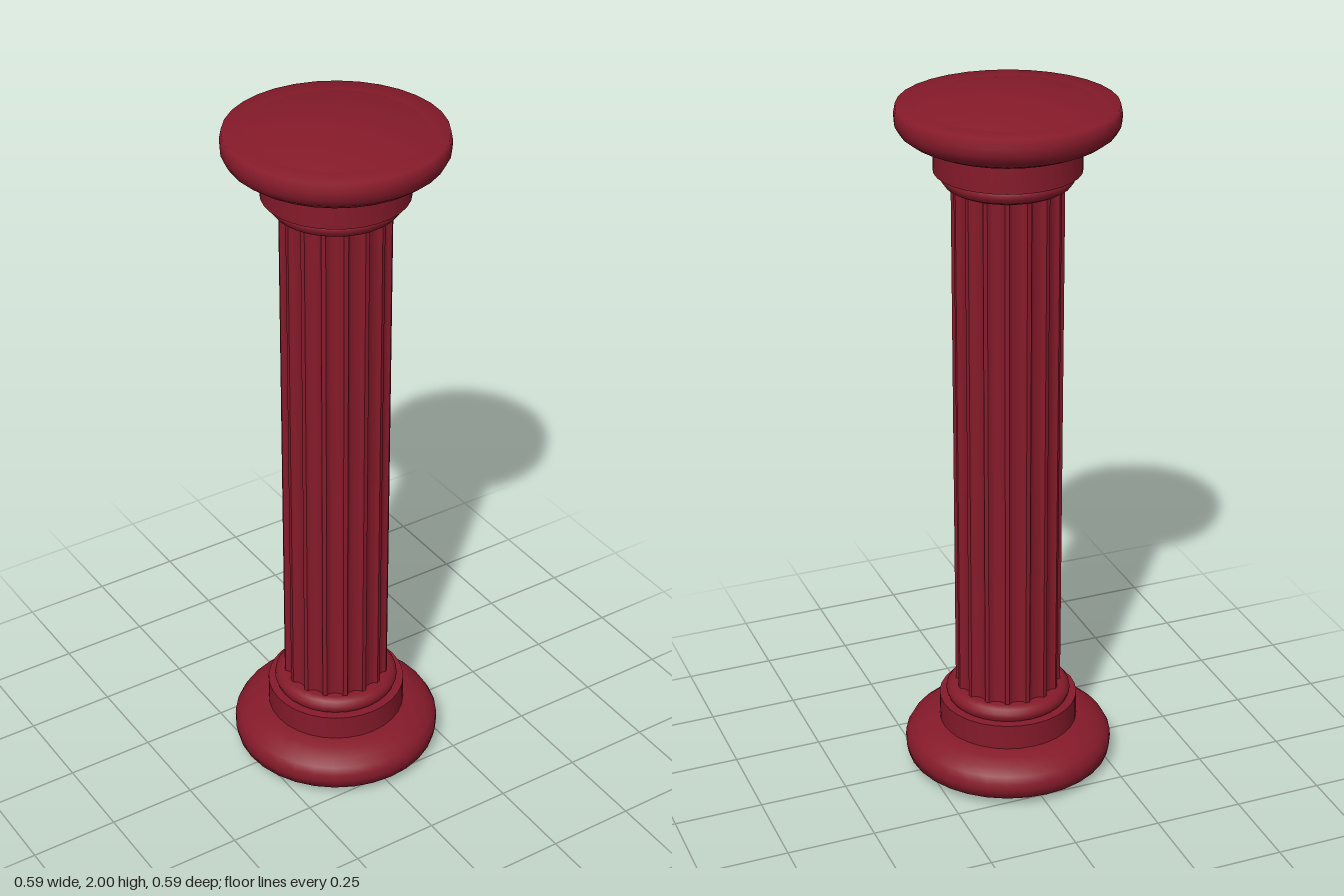
import * as THREE from 'three';
import { toCreasedNormals } from 'three/addons/utils/BufferGeometryUtils.js';

const material = new THREE.MeshStandardMaterial({ color: 0x851a2a });

function addMesh(group, name, geometry) {
  const mesh = new THREE.Mesh(geometry, material);
  mesh.name = name;
  group.add(mesh);
}

// Turned part from [radius, height] pairs, listed from bottom to top
function turned(profile, segments = 32) {
  return new THREE.LatheGeometry(profile.map(([r, y]) => new THREE.Vector2(r, y)), segments);
}

// Shaft outline with concave flutes separated by narrow ridges
function flutedShaft(radius, flutes, depth, bottom, top) {
  const points = [];
  const steps = 8;
  const ridge = 0.2;
  for (let i = 0; i < flutes; i++) {
    for (let j = 0; j <= steps; j++) {
      const t = j / steps;
      const angle = ((i + ridge / 2 + t * (1 - ridge)) / flutes) * Math.PI * 2;
      const r = radius - depth * Math.sqrt(Math.max(0, 1 - (2 * t - 1) ** 2));
      points.push(new THREE.Vector2(r * Math.cos(angle), r * Math.sin(angle)));
    }
  }
  const geometry = new THREE.ExtrudeGeometry(new THREE.Shape(points), {
    depth: top - bottom, bevelEnabled: false,
  });
  geometry.rotateX(-Math.PI / 2).translate(0, bottom, 0);
  return toCreasedNormals(geometry, 0.7);
}

function createEnd(name) {
  const end = new THREE.Group();
  end.name = name;

  // Rounded moulding next to the shaft
  addMesh(end, 'collar', turned([
    [0.12, 1.75], [0.155, 1.75], [0.168, 1.757], [0.176, 1.768], [0.178, 1.778], [0.174, 1.79], [0.165, 1.8],
  ]));

  // Straight drum
  addMesh(end, 'drum', toCreasedNormals(turned([
    [0.1, 1.793], [0.197, 1.793], [0.197, 1.875],
  ]), 0.6));

  // Wide disc with a rounded underside
  addMesh(end, 'disc', turned([
    [0.12, 1.865], [0.19, 1.866], [0.23, 1.874], [0.262, 1.888], [0.285, 1.905],
    [0.296, 1.925], [0.297, 1.945], [0.292, 1.971], [0.23, 1.972],
  ]));

  // Shallow dome closing the end
  const dome = [];
  for (let i = 0; i <= 8; i++) {
    const r = 0.235 * (1 - i / 8);
    dome.push([r, 2 - 0.028 * (r / 0.235) ** 2]);
  }
  addMesh(end, 'dome', turned(dome));
  return end;
}

export function createModel() {
  const column = new THREE.Group();
  column.name = 'column';

  addMesh(column, 'shaft', flutedShaft(0.15, 16, 0.014, 0.22, 1.78));
  column.add(createEnd('capital'));

  // The base is the capital turned upside down
  const base = createEnd('base');
  base.rotation.x = Math.PI;
  base.position.y = 2;
  column.add(base);

  return column;
}
